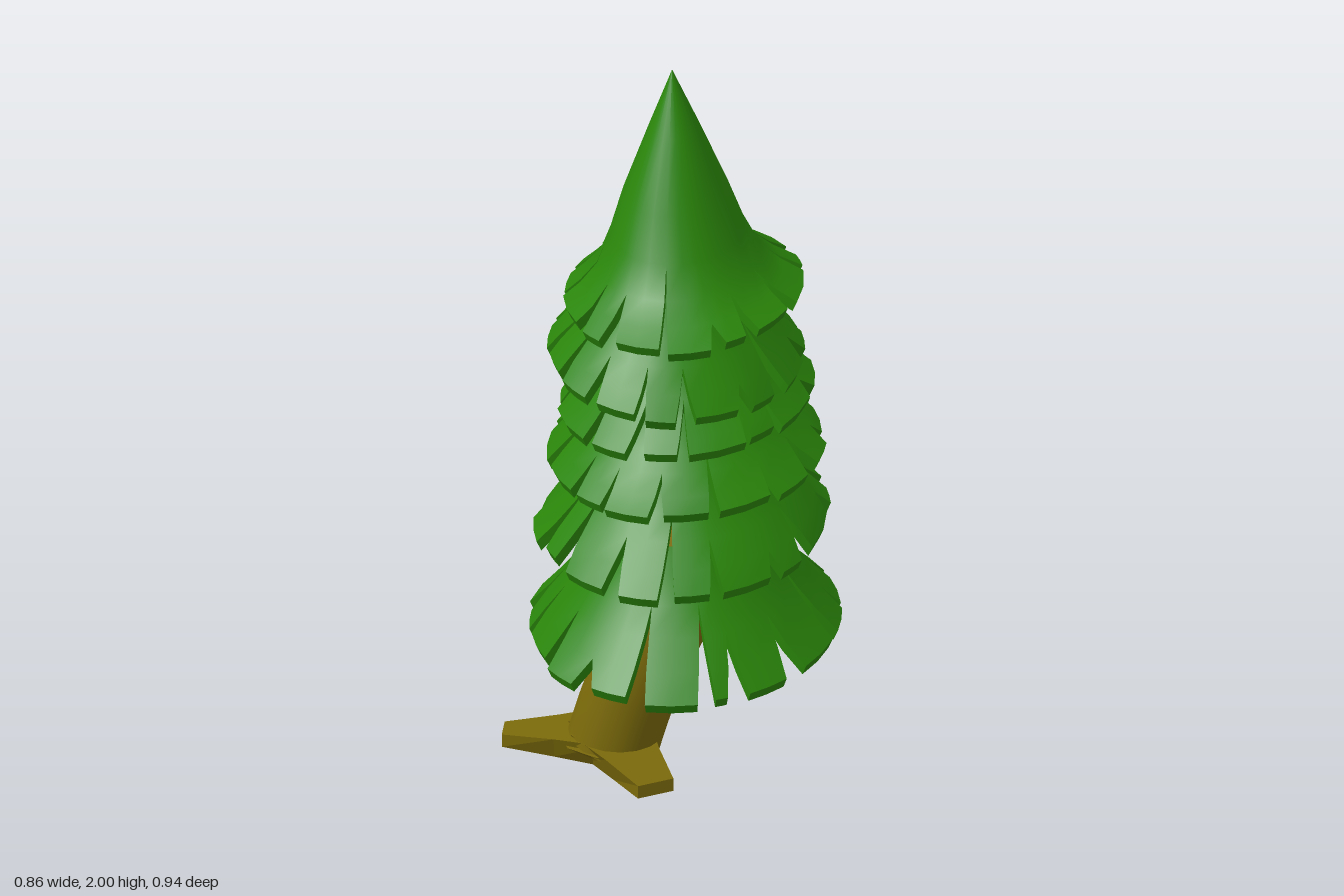
import * as THREE from 'three';
import { mergeGeometries, toCreasedNormals } from 'three/addons/utils/BufferGeometryUtils.js';

const leaf = new THREE.MeshStandardMaterial({ color: 0x2a850a, side: THREE.DoubleSide });
const bark = new THREE.MeshStandardMaterial({ color: 0x7a690a });
const barkFlat = new THREE.MeshStandardMaterial({ color: 0x7a690a, flatShading: true });

function makeRandom(seed) {
  let s = seed;
  return () => (s = (s * 16807) % 2147483647) / 2147483647;
}

// A thick skirt following a profile of [radius, y] rows (top to hem), slit into irregular teeth.
function skirtGeometry({ pts, teeth, center, top = center, tilt = 0, start = 0, deepFront = false, seed }) {
  const rand = makeRandom(seed * 7919 + 13);
  for (let i = 0; i < 5; i++) rand();
  const last = pts.length - 1, thick = 0.028, across = 2;

  // Slits: angle, half opening at the hem, and the row where each begins
  const slits = [];
  for (let i = 0; i < teeth; i++) {
    slits.push({
      a: start + ((i + (i ? (rand() - 0.5) * 0.55 : 0)) / teeth) * Math.PI * 2,
      gap: 0.02 + 0.065 * rand(),
      row: last - 2 - (rand() > 0.7 ? 1 : 0) + (rand() > 0.6 ? 1 : 0),
    });
  }
  if (deepFront) Object.assign(slits[0], { row: 2, gap: 0.07 });
  const open = (s, j) => (j <= s.row ? 0 : (s.gap * (j - s.row)) / (last - s.row));

  const out = [];
  const quad = (a, b, c, d) => out.push(...a, ...b, ...c, ...a, ...c, ...d);

  for (let i = 0; i < teeth; i++) {
    const L = slits[i], n = slits[(i + 1) % teeth];
    const R = { ...n, a: n.a + (i === teeth - 1 ? Math.PI * 2 : 0) };
    const reach = 1 - 0.06 * rand(), lift = 0.012 * rand();

    const point = (j, u, inner) => {
      const f = j / last;
      const a = THREE.MathUtils.lerp(L.a + open(L, j), R.a - open(R, j), u / across);
      const r = Math.max(0, pts[j][0] * (j === last ? reach : 1) - (inner ? 0.012 : 0));
      const x = Math.sin(a) * r, z = Math.cos(a) * r * 1.18;
      const y = pts[j][1] + tilt * x * f + (j === last ? lift : 0) - (inner ? thick : 0);
      return [x + THREE.MathUtils.lerp(top[0], center[0], f), y, z + THREE.MathUtils.lerp(top[1], center[1], f)];
    };

    for (let j = 0; j < last; j++) {
      for (let u = 0; u < across; u++) {
        quad(point(j + 1, u), point(j + 1, u + 1), point(j, u + 1), point(j, u));
        quad(point(j, u, 1), point(j, u + 1, 1), point(j + 1, u + 1, 1), point(j + 1, u, 1));
      }
      // Slit walls
      if (j >= L.row) quad(point(j, 0), point(j, 0, 1), point(j + 1, 0, 1), point(j + 1, 0));
      if (j >= R.row) quad(point(j + 1, across), point(j + 1, across, 1), point(j, across, 1), point(j, across));
    }
    // Hem edge
    for (let u = 0; u < across; u++) {
      quad(point(last, u), point(last, u, 1), point(last, u + 1, 1), point(last, u + 1));
    }
  }
  const g = new THREE.BufferGeometry();
  g.setAttribute('position', new THREE.Float32BufferAttribute(out, 3));
  return toCreasedNormals(g, 0.6);
}

// Flared profile from neck to hem
function flare(rTop, yTop, rHem, yHem, power = 1.35, rows = 5) {
  return Array.from({ length: rows + 1 }, (_, i) => {
    const t = i / rows;
    return [rTop + (rHem - rTop) * t ** power, yTop + (yHem - yTop) * t];
  });
}

// Tapered slab root with a keeled underside, running from the trunk base to a blunt tip
function rootGeometry(from, to, tipWidth) {
  const dx = to[0] - from[0], dz = to[1] - from[1];
  const len = Math.hypot(dx, dz);
  const g = new THREE.BoxGeometry(1, 1, 1, 1, 1, 2);
  const p = g.attributes.position;
  for (let i = 0; i < p.count; i++) {
    const t = p.getZ(i) + 0.5, upper = p.getY(i) > 0;
    const width = THREE.MathUtils.lerp(upper ? 0.22 : 0.12, tipWidth, Math.min(1, t * 1.15));
    const y = upper ? THREE.MathUtils.lerp(0.1, 0.078, t) : THREE.MathUtils.lerp(0.012, 0.042, t);
    p.setXYZ(i, p.getX(i) * width, y, t * len);
  }
  g.rotateY(Math.atan2(dx, dz));
  g.translate(from[0], 0, from[1]);
  return g;
}

// Broken branch between two points
function stubGeometry(a, b, r) {
  const dir = new THREE.Vector3(...b).sub(new THREE.Vector3(...a));
  const g = new THREE.CylinderGeometry(r * 0.7, r, dir.length(), 5);
  g.translate(0, dir.length() / 2, 0);
  g.applyQuaternion(new THREE.Quaternion().setFromUnitVectors(new THREE.Vector3(0, 1, 0), dir.normalize()));
  return g.translate(...a);
}

export function createModel() {
  const model = new THREE.Group();
  model.name = 'pineTree';
  const add = (name, geometry, material) => {
    const mesh = new THREE.Mesh(geometry, material);
    mesh.name = name;
    model.add(mesh);
  };

  // Foliage tiers, bottom to top
  const tiers = [
    { pts: flare(0.19, 0.74, 0.405, 0.405), teeth: 16, center: [0.025, 0], deepFront: true },
    { pts: flare(0.18, 0.98, 0.385, 0.7), teeth: 15, center: [0.025, 0], start: 0.2 },
    { pts: flare(0.19, 1.14, 0.36, 0.93), teeth: 15, center: [0.035, 0.015], start: 0.1, tilt: 0.02 },
    { pts: flare(0.19, 1.28, 0.33, 1.09), teeth: 14, center: [0.035, 0.015], start: 0.3, tilt: 0.04 },
    { pts: flare(0.15, 1.46, 0.335, 1.205), teeth: 15, center: [0.005, 0.02], start: 0.05, tilt: -0.08 },
    {
      pts: [[0, 2], [0.065, 1.84], [0.135, 1.66], [0.172, 1.55], [0.208, 1.47], [0.255, 1.425], [0.312, 1.385]],
      teeth: 14, center: [0.03, 0.02], top: [-0.01, -0.02], start: 0.15, tilt: 0.03,
    },
  ];
  tiers.forEach((t, i) => add(`foliageTier${i + 1}`, skirtGeometry({ ...t, seed: i + 3 }), leaf));

  // Leaning, bent trunk
  const path = new THREE.CatmullRomCurve3([
    [-0.145, 0.06, 0.06], [-0.11, 0.18, 0.06], [-0.045, 0.36, 0.06], [0.015, 0.52, 0.045], [0.03, 0.67, 0.03],
  ].map((v) => new THREE.Vector3(...v)));
  add('trunk', new THREE.TubeGeometry(path, 20, 0.12, 18), bark);

  // Three roots spreading from a pointed base
  const base = [-0.155, 0.06];
  const roots = [[-0.425, 0.105, 0.07], [-0.16, -0.24, 0.075], [0.03, 0.28, 0.1]]
    .map(([x, z, width]) => rootGeometry(base, [x, z], width));
  const heel = new THREE.CylinderGeometry(0.13, 0.03, 0.075, 9).translate(base[0], 0.0375, base[1]);
  add('roots', mergeGeometries([...roots, heel]), barkFlat);

  // Broken branches hidden under the lowest tier
  add('branchStubs', mergeGeometries([
    stubGeometry([0.02, 0.46, 0.01], [0.0, 0.62, -0.12], 0.065),
    stubGeometry([-0.04, 0.43, 0.05], [-0.17, 0.47, 0.05], 0.03),
  ]), barkFlat);

  return model;
}
